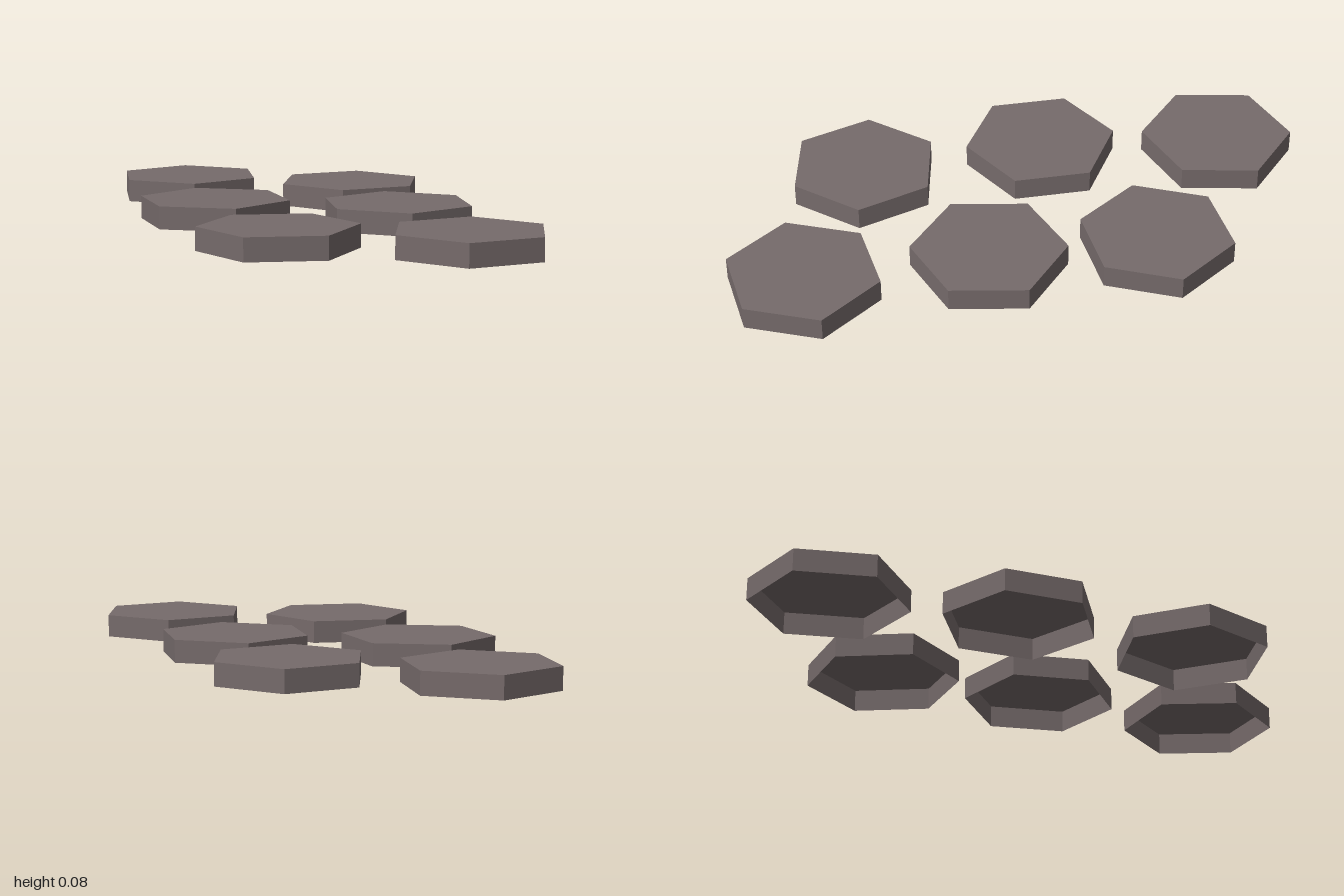
import * as THREE from 'three';

export function createModel() {
  const group = new THREE.Group();
  group.name = 'steppingStones';
  const stone = new THREE.MeshStandardMaterial({
    name: 'warm grey stone', color: 0x766b6b, flatShading: true, side: THREE.DoubleSide,
  });

  // Hexagonal slab: side walls and a top, open underneath
  const radius = 0.264, height = 0.078;
  const profile = [[radius, 0], [radius, height], [0, height]].map(([x, y]) => new THREE.Vector2(x, y));
  const slab = new THREE.LatheGeometry(profile, 6);

  // Centre x, centre z and turn in degrees of each stone, back to front
  const stones = [
    [-0.304, -0.738, -6.9],
    [0.234, -0.438, -20.4],
    [-0.333, -0.111, 4],
    [0.251, 0.13, -5.8],
    [-0.254, 0.518, 23],
    [0.308, 0.748, -18.8],
  ];
  stones.forEach(([x, z, turn], i) => {
    const mesh = new THREE.Mesh(slab, stone);
    mesh.name = `hexagonStone${i + 1}`;
    mesh.position.set(x, 0, z);
    mesh.rotation.y = THREE.MathUtils.degToRad(turn);
    group.add(mesh);
  });
  return group;
}
